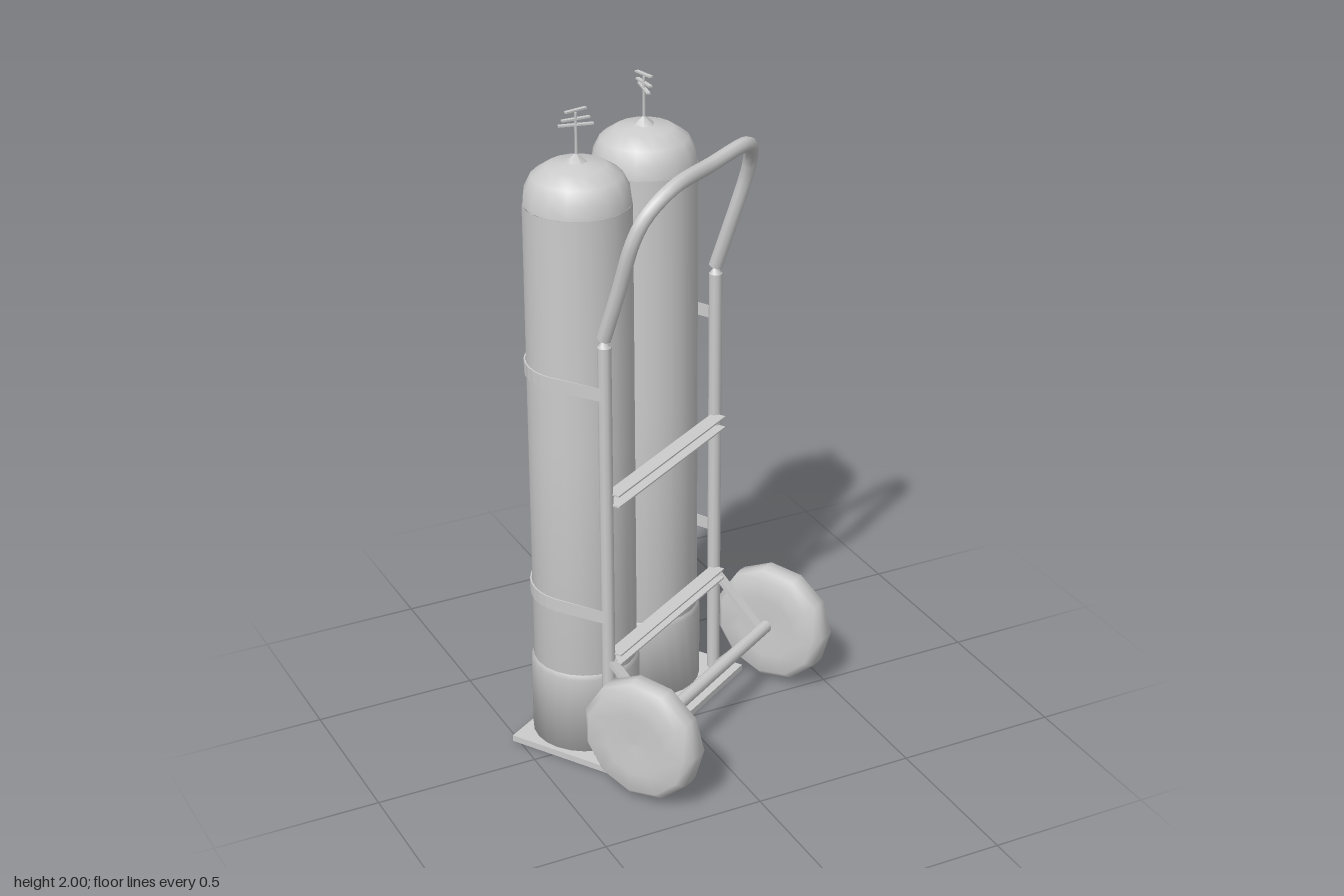
import * as THREE from 'three';

const grey = new THREE.MeshStandardMaterial({ color: 0xcccccc, side: THREE.DoubleSide });
const V = (x, y, z) => new THREE.Vector3(x, y, z);

function add(parent, name, geometry, x = 0, y = 0, z = 0) {
  const mesh = new THREE.Mesh(geometry, grey);
  mesh.name = name;
  mesh.position.set(x, y, z);
  parent.add(mesh);
  return mesh;
}

function lathe(profile, segments) {
  return new THREE.LatheGeometry(profile.map(([r, y]) => new THREE.Vector2(r, y)), segments);
}

// Straight bar between two points
function bar(parent, name, a, b, width, depth) {
  const mesh = add(parent, name, new THREE.BoxGeometry(width, depth, a.distanceTo(b)));
  mesh.position.copy(a).lerp(b, 0.5);
  mesh.quaternion.setFromUnitVectors(V(0, 0, 1), b.clone().sub(a).normalize());
  return mesh;
}

const YAW = THREE.MathUtils.degToRad(32);
const TANK_X = 0.177, TANK_Z = -0.223;
const POST_X = 0.305, POST_Z = -0.058;
const AXLE_Y = 0.205, AXLE_Z = 0.113;

// Thin band that runs from post to post round the back of both cylinders
function strapGeometry(height) {
  const path = (r) => {
    const pts = [[-POST_X - 0.02, POST_Z - (0.16 - r)]];
    for (let i = 0; i <= 8; i++) {
      const t = Math.PI * (1 + i / 16);
      pts.push([-TANK_X + r * Math.cos(t), TANK_Z + r * Math.sin(t)]);
    }
    return pts.concat(pts.map(([x, z]) => [-x, z]).reverse());
  };
  const outline = [...path(0.161), ...path(0.156).reverse()];
  const shape = new THREE.Shape(outline.map(([x, z]) => new THREE.Vector2(x, z)));
  const geometry = new THREE.ExtrudeGeometry(shape, { depth: height, bevelEnabled: false });
  return geometry.rotateX(Math.PI / 2);
}

// Gas cylinder with base cup and slender valve
function gasCylinder(parent, side) {
  const tank = new THREE.Group();
  tank.name = 'gasCylinder';
  tank.position.set(side * TANK_X, 0, TANK_Z);
  parent.add(tank);

  add(tank, 'cylinderBody', lathe([[0, 0.03], [0.155, 0.03], [0.155, 1.0], [0.155, 1.73]], 24));
  add(tank, 'shoulder', lathe([[0.155, 1.73], [0.15, 1.77], [0.13, 1.81], [0.085, 1.84], [0, 1.853]], 16));
  add(tank, 'baseCup', lathe([[0, 0.022], [0.163, 0.022], [0.163, 0.27], [0.156, 0.285]], 24));

  const valve = new THREE.Group();
  valve.name = 'valve';
  valve.rotation.y = -YAW + (side > 0 ? Math.PI / 2 : 0);
  tank.add(valve);
  add(valve, 'neck', new THREE.ConeGeometry(0.035, 0.03, 6), 0, 1.86, 0);
  add(valve, 'stem', new THREE.CylinderGeometry(0.004, 0.005, 0.13, 6), 0, 1.925, 0);
  [1.955, 1.972, 1.997].forEach((y, i) => {
    const blade = add(valve, 'valveBlade', new THREE.BoxGeometry(0.1 - i * 0.015, 0.005, 0.012), 0, y, 0);
    blade.rotation.y = (i - 1) * 0.2;
  });
}

// One side of the trolley: post, wheel and braces
function trolleySide(parent, s) {
  add(parent, 'post', new THREE.CylinderGeometry(0.02, 0.02, 1.35, 10), s * POST_X, 0.7, POST_Z);
  add(parent, 'postTip', new THREE.ConeGeometry(0.02, 0.03, 10), s * POST_X, 1.388, POST_Z);

  const tyre = lathe([[0, -0.05], [0.1, -0.055], [0.165, -0.052], [0.188, -0.03],
    [0.191, 0], [0.188, 0.03], [0.165, 0.052], [0.1, 0.055], [0, 0.05]], 11);
  const wheel = add(parent, 'wheel', tyre, s * 0.387, 0.2, AXLE_Z);
  wheel.rotation.z = Math.PI / 2;

  const hub = V(s * 0.305, AXLE_Y, AXLE_Z);
  bar(parent, 'upperBrace', V(s * POST_X, 0.365, POST_Z + 0.01), hub, 0.03, 0.014);
  bar(parent, 'lowerBrace', V(s * POST_X, 0.035, POST_Z + 0.01), hub, 0.03, 0.014);
}

export function createModel() {
  const root = new THREE.Group();
  root.name = 'cylinderTrolley';
  const trolley = new THREE.Group();
  trolley.name = 'trolley';
  trolley.rotation.y = YAW;
  trolley.position.set(-0.018, 0, 0.011);
  root.add(trolley);

  // Base plate
  add(trolley, 'basePlate', new THREE.BoxGeometry(0.712, 0.02, 0.393), 0, 0.013, -0.178);
  add(trolley, 'plateUnderside', new THREE.BoxGeometry(0.6, 0.004, 0.3), 0, 0.002, -0.178);

  for (const s of [-1, 1]) {
    gasCylinder(trolley, s);
    trolleySide(trolley, s);
  }

  // Axle
  const axle = add(trolley, 'axle', new THREE.CylinderGeometry(0.02, 0.02, 0.7, 10), 0, AXLE_Y, AXLE_Z);
  axle.rotation.z = Math.PI / 2;

  // Bent push handle
  const half = [[POST_X, 1.4, POST_Z], [0.308, 1.56, -0.005], [0.31, 1.71, 0.042],
    [0.285, 1.78, 0.068], [0.205, 1.84, 0.1]];
  const points = [
    ...half.map(([x, y, z]) => V(-x, y, z)),
    V(0, 1.843, 0.1),
    ...half.map(([x, y, z]) => V(x, y, z)).reverse(),
  ];
  const curve = new THREE.CatmullRomCurve3(points, false, 'centripetal');
  add(trolley, 'handle', new THREE.TubeGeometry(curve, 48, 0.022, 8));

  // Thin cross rails between the posts
  for (const y of [0.358, 0.388, 0.88, 0.915]) {
    add(trolley, 'crossRail', new THREE.BoxGeometry(0.6, 0.005, 0.045), 0, y, -0.04);
  }

  // Retaining straps
  for (const y of [0.537, 1.255]) add(trolley, 'strap', strapGeometry(0.04), 0, y, 0);

  return root;
}
